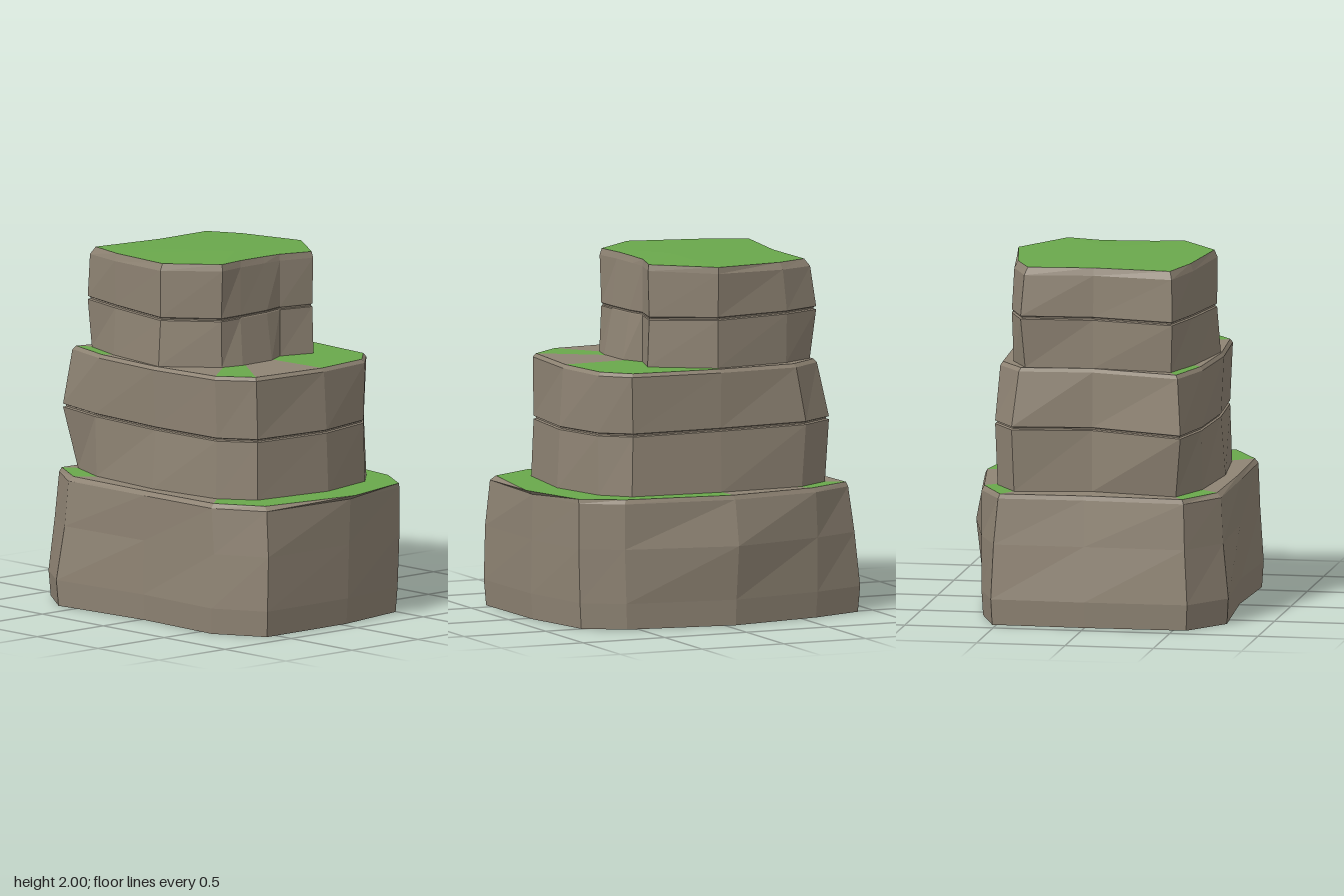
import * as THREE from 'three';

const rock = new THREE.MeshStandardMaterial({ color: 0x8f8474 });
rock.name = 'rock';
const grass = new THREE.MeshStandardMaterial({ color: 0x6aa84c });
grass.name = 'grass';

// Cross-section: 12 [x, z] corners from front left, counter-clockwise seen from above; height may tilt
const ring = (y, outline, scale = 1, tiltX = 0, tiltZ = 0) =>
  outline.map(([x, z]) => [x * scale, y + tiltX * x + tiltZ * z, z * scale]);

// Narrow groove running around a tier
const groove = (y, outline) => [
  ring(y - 0.009, outline, 1, -0.013, -0.01),
  ring(y - 0.004, outline, 0.982, -0.013, -0.01),
  ring(y + 0.004, outline, 0.982, -0.013, -0.01),
  ring(y + 0.009, outline, 1, -0.013, -0.01),
];

function flatMesh(name, triangles, material) {
  const geometry = new THREE.BufferGeometry();
  geometry.setAttribute('position', new THREE.Float32BufferAttribute(triangles.flat(2), 3));
  geometry.computeVertexNormals();
  const mesh = new THREE.Mesh(geometry, material);
  mesh.name = name;
  return mesh;
}

// Stacked cross-sections closed by a top fan; 'g' in the pattern marks grassy wedges
function makeTier(name, rings, pattern, centre) {
  const stone = [], turf = [];
  const n = rings[0].length;
  for (let r = 0; r < rings.length - 1; r++) {
    for (let i = 0; i < n; i++) {
      const j = (i + 1) % n, a = rings[r], b = rings[r + 1];
      stone.push([a[i], a[j], b[j]], [a[i], b[j], b[i]]);
    }
  }
  const top = rings[rings.length - 1], base = rings[0];
  for (let i = 0; i < n; i++) {
    const j = (i + 1) % n;
    (pattern[i] === 'g' ? turf : stone).push([centre, top[i], top[j]]);
    stone.push([[0, base[0][1], 0], base[j], base[i]]);
  }
  const tier = new THREE.Group();
  tier.name = name;
  tier.add(flatMesh(name + 'Rock', stone, rock), flatMesh(name + 'Grass', turf, grass));
  return tier;
}

export function createModel() {
  const model = new THREE.Group();
  model.name = 'steppedCliff';

  // Wide lower tier
  const low1 = [[-.905, .58], [-.64, .765], [.02, .715], [.6, .735], [.888, .575], [.88, -.04],
    [.79, -.5], [.57, -.64], [-.06, -.735], [-.6, -.64], [-.91, -.53], [-.92, 0]];
  const low2 = [[-.875, .56], [-.61, .73], [.02, .71], [.6, .715], [.885, .565], [.88, -.05],
    [.8, -.505], [.58, -.64], [-.06, -.77], [-.6, -.64], [-.88, -.52], [-.87, -.01]];
  const low3 = [[-.85, .55], [-.595, .715], [.02, .715], [.575, .71], [.86, .555], [.88, -.06],
    [.8, -.505], [.58, -.64], [-.06, -.72], [-.59, -.64], [-.85, -.5], [-.83, -.02]];
  const low4 = [[-.84, .54], [-.58, .69], [.02, .7], [.57, .69], [.83, .54], [.92, -.06],
    [.8, -.5], [.57, -.63], [-.05, -.71], [-.57, -.63], [-.84, -.49], [-.82, -.02]];
  model.add(makeTier('lowerTier', [
    ring(0, low1, 0.988), ring(0.145, low1), ring(0.45, low2), ring(0.705, low3), ring(0.73, low4),
  ], 'grrgggggrgrr', [0, 0.73, 0]));

  // Middle tier
  const mid1 = [[-.76, .49], [-.5, .59], [0, .63], [.47, .58], [.66, .44], [.72, -.04],
    [.63, -.4], [.49, -.54], [-.04, -.58], [-.54, -.56], [-.74, -.43], [-.67, 0]];
  const mid2 = [[-.84, .53], [-.51, .59], [0, .605], [.465, .57], [.65, .43], [.705, -.04],
    [.63, -.39], [.48, -.53], [-.04, -.57], [-.56, -.57], [-.76, -.44], [-.67, 0]];
  const mid3 = [[-.79, .505], [-.48, .59], [0, .622], [.468, .585], [.65, .44], [.685, -.04],
    [.63, -.4], [.49, -.54], [-.04, -.575], [-.51, -.55], [-.7, -.41], [-.66, 0]];
  model.add(makeTier('middleTier', [
    ring(0.73, mid1), ...groove(1.074, mid2), ring(1.4, mid3), ring(1.42, mid3, 0.977),
  ], 'grrgrgggrrrr', [0, 1.42, 0]));

  // Narrow upper tier, notched on its left side
  const up1 = [[-.69, .45], [-.42, .535], [.02, .6], [.28, .36], [.31, .23], [.3, 0],
    [.235, -.12], [.295, -.32], [-.04, -.53], [-.48, -.48], [-.67, -.38], [-.64, 0]];
  const up2 = [[-.713, .46], [-.42, .52], [.015, .58], [.27, .355], [.27, .21], [.26, 0],
    [.235, -.12], [.285, -.32], [-.04, -.53], [-.48, -.49], [-.7, -.4], [-.64, 0]];
  const up3 = [[-.7, .455], [-.42, .525], [.015, .582], [.28, .355], [.25, .19], [.24, 0],
    [.235, -.12], [.292, -.32], [-.04, -.54], [-.46, -.48], [-.67, -.385], [-.635, 0]];
  const up4 = [[-.67, .44], [-.42, .51], [.015, .565], [.27, .35], [.24, .18], [.23, 0],
    [.23, -.12], [.285, -.315], [-.04, -.535], [-.45, -.46], [-.64, -.37], [-.62, 0]];
  model.add(makeTier('upperTier', [
    ring(1.42, up1), ...groove(1.692, up2),
    ring(1.955, up3, 1, 0.02, 0.005), ring(1.993, up4, 1, 0.014, 0.008),
  ], 'gggggggggggg', [0, 2, 0]));

  return model;
}
